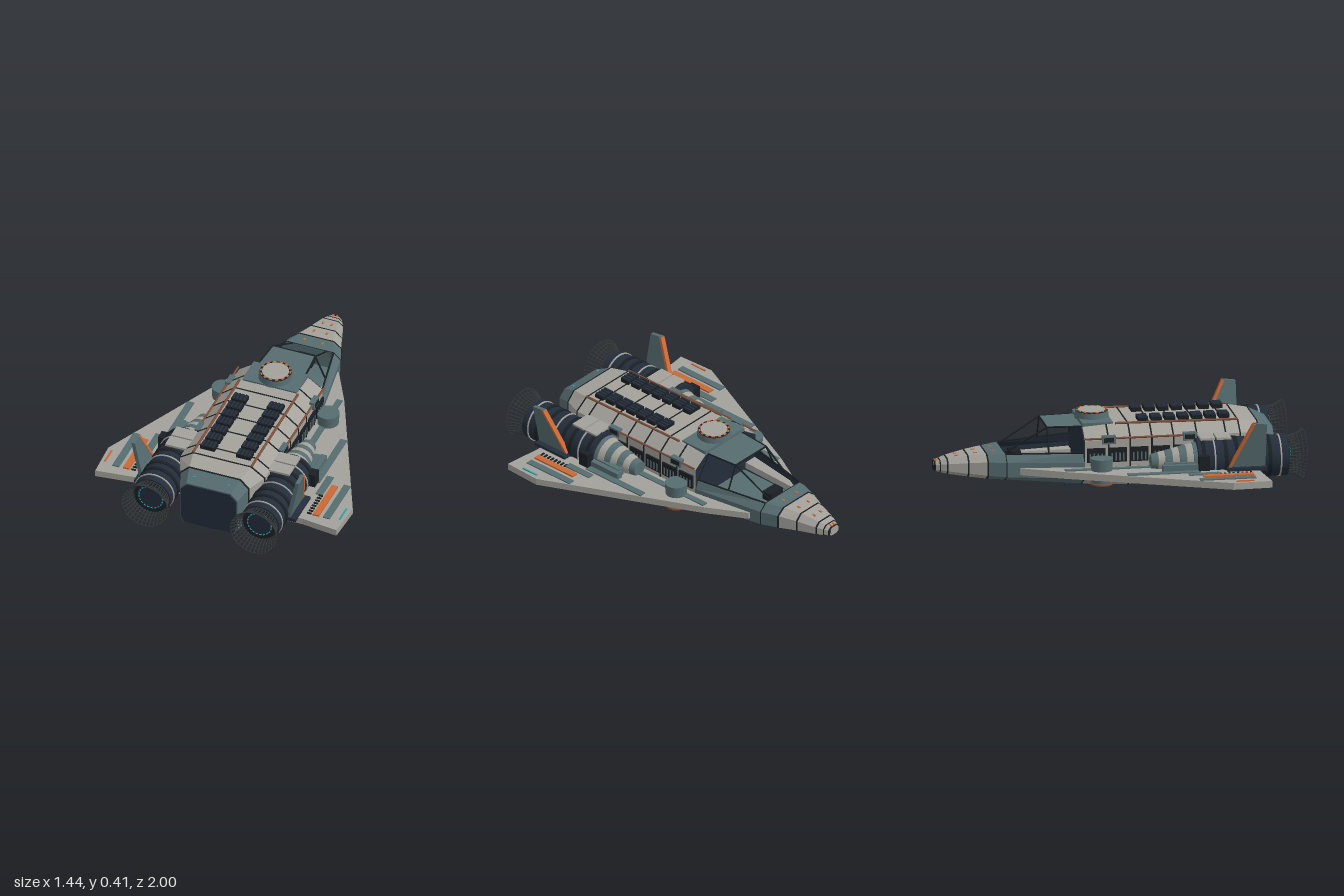
import * as THREE from 'three';

const paint = (name, color, side = THREE.FrontSide) => {
  const m = new THREE.MeshStandardMaterial({ color, side });
  m.name = name;
  return m;
};

// Eight-sided hull stations: z, bottom / side / top half widths, then four heights
const HULL = [
  [0.86, 0.15, 0.17, 0.13, 0.02, 0.06, 0.25, 0.29],
  [0.77, 0.16, 0.2, 0.15, 0.01, 0.055, 0.28, 0.33],
  [0.66, 0.17, 0.25, 0.17, 0.005, 0.055, 0.29, 0.345],
  [0, 0.17, 0.25, 0.17, 0.01, 0.06, 0.29, 0.355],
  [-0.2, 0.16, 0.245, 0.16, 0.02, 0.065, 0.28, 0.34],
];
const CABIN = [
  [-0.2, 0.15, 0.245, 0.225, 0.02, 0.07, 0.16, 0.21],
  [-0.62, 0.11, 0.18, 0.14, 0.05, 0.08, 0.16, 0.2],
];
const NOSE = [
  CABIN[1],
  [-0.72, 0.09, 0.145, 0.1, 0.055, 0.085, 0.16, 0.195],
  [-0.82, 0.065, 0.105, 0.07, 0.065, 0.09, 0.15, 0.185],
  [-0.93, 0.045, 0.07, 0.045, 0.08, 0.1, 0.14, 0.165],
  [-1, 0.02, 0.035, 0.02, 0.095, 0.105, 0.13, 0.145],
];

// Station interpolated at z
function at(table, z) {
  let i = 0;
  while (i < table.length - 2 && z < table[i + 1][0]) i++;
  const a = table[i], b = table[i + 1], t = (z - a[0]) / (b[0] - a[0]);
  return a.map((v, k) => v + (b[k] - v) * t);
}

function ring([z, wb, w, wt, y0, y1, y2, y3], k) {
  const c = (y0 + y3) / 2;
  return [[wb, y0], [w, y1], [w, y2], [wt, y3], [-wt, y3], [-w, y2], [-w, y1], [-wb, y0]]
    .map(([x, y]) => [x * k, c + (y - c) * k, z]);
}

// Faceted skin between two stations; can leave the top open or face inward
function loft(a, b, { k = 1, open = false, inward = false } = {}) {
  const A = ring(a, k), B = ring(b, k), pos = [];
  const tri = (p, q, r) => pos.push(...p, ...(inward ? r : q), ...(inward ? q : r));
  for (let i = 0; i < 8; i++) {
    if (open && i === 3) continue;
    const j = (i + 1) % 8;
    tri(A[i], B[i], B[j]);
    tri(A[i], B[j], A[j]);
  }
  if (!open) for (let i = 1; i < 7; i++) {
    tri(A[0], A[i], A[i + 1]);
    tri(B[0], B[i + 1], B[i]);
  }
  const g = new THREE.BufferGeometry();
  g.setAttribute('position', new THREE.Float32BufferAttribute(pos, 3));
  g.computeVertexNormals();
  return g;
}

export function createModel() {
  const gray = paint('hull gray', 0xa3a19a), teal = paint('slate teal', 0x566c70);
  const navy = paint('dark navy', 0x232d3a), black = paint('seam black', 0x1b2024);
  const orange = paint('orange', 0xcb6835), cyan = paint('cyan glow', 0x2aa3ad);
  const rust = paint('rust', 0x80503a), metal = paint('nozzle metal', 0x34383a);
  const model = new THREE.Group();
  const add = (name, geo, mat, x = 0, y = 0, z = 0) => {
    const m = new THREE.Mesh(geo, mat);
    m.name = name;
    m.position.set(x, y, z);
    model.add(m);
    return m;
  };
  const box = (name, mat, w, h, d, x, y, z) => add(name, new THREE.BoxGeometry(w, h, d), mat, x, y, z);
  const bar = (name, mat, a, b, r) => {
    const p = new THREE.Vector3(...a), q = new THREE.Vector3(...b);
    const m = add(name, new THREE.CylinderGeometry(r, r, p.distanceTo(q), 6), mat);
    m.position.copy(p).add(q).multiplyScalar(0.5);
    m.quaternion.setFromUnitVectors(new THREE.Vector3(0, 1, 0), q.sub(p).normalize());
  };
  const drum = (name, mat, r1, r2, len, x, y, z, open = false) =>
    add(name, new THREE.CylinderGeometry(r1, r2, len, 32, 1, open).rotateX(Math.PI / 2), mat, x, y, z);

  // Main hull panels with dark seams
  const cuts = [0.86, 0.77, 0.66, 0.58, 0.42, 0.29, 0.17, 0.05, -0.07, -0.2];
  for (let i = 0; i < cuts.length - 1; i++) {
    add('hullPanel', loft(at(HULL, cuts[i]), at(HULL, cuts[i + 1])), i === 0 ? teal : gray);
    if (i) add('hullSeam', loft(at(HULL, cuts[i] + 0.004), at(HULL, cuts[i] - 0.004), { k: 1.012 }), black);
  }
  const shifted = (s, z) => [z, ...s.slice(1)];
  add('rearPlate', loft(shifted(HULL[0], 0.866), HULL[0], { k: 0.96 }), navy);
  add('bulkhead', loft(HULL[4], shifted(HULL[4], -0.206), { k: 0.99 }), navy);

  // Open cockpit tub
  add('cockpitBody', loft(CABIN[0], CABIN[1], { open: true }), teal);
  add('cockpitLining', loft(CABIN[0], CABIN[1], { open: true, inward: true, k: 0.975 }), navy);
  box('cockpitFloor', teal, 0.3, 0.008, 0.41, 0, 0.09, -0.41);
  box('console', black, 0.1, 0.05, 0.06, 0, 0.165, -0.55);
  const roof = new THREE.Shape([[-0.14, 0.2], [0.14, 0.2], [0.125, 0.39], [-0.125, 0.39]].map(p => new THREE.Vector2(...p)));
  add('cockpitRoof', new THREE.ExtrudeGeometry(roof, { depth: 0.006, bevelEnabled: false }).rotateX(-Math.PI / 2), teal, 0, 0.334, 0);
  bar('canopyFrame', black, [-0.125, 0.338, -0.39], [0.125, 0.338, -0.39], 0.005);
  for (const s of [-1, 1]) {
    const frame = [
      [[0.14, 0.338, -0.2], [0.125, 0.338, -0.39]], [[0.125, 0.338, -0.39], [0.1, 0.2, -0.62]],
      [[0.125, 0.338, -0.39], [0.183, 0.206, -0.39]], [[0.225, 0.21, -0.2], [0.14, 0.2, -0.62]],
      [[0.14, 0.338, -0.205], [0.225, 0.21, -0.205]],
    ];
    for (const [a, b] of frame) bar('canopyFrame', black, [a[0] * s, a[1], a[2]], [b[0] * s, b[1], b[2]], 0.005);
  }

  // Nose segments, seams and marker lights
  for (let i = 0; i < 4; i++) {
    add('noseSegment', loft(NOSE[i], NOSE[i + 1]), i ? gray : teal);
    const z = NOSE[i][0];
    add('noseSeam', loft(at(NOSE, z + (i ? 0.004 : 0)), at(NOSE, z - 0.004), { k: 1.02 }), black);
    for (const s of [-1, 1]) {
      const st = at(NOSE, z - 0.055);
      box('noseMarker', orange, 0.01, 0.006, 0.02, s * st[3] * 0.45, st[7] + 0.001, z - 0.055);
    }
  }
  add('noseSeam', loft(at(NOSE, -0.965), at(NOSE, -0.971), { k: 1.03 }), black);
  add('noseTip', loft(at(NOSE, -0.992), NOSE[4], { k: 1.06 }), black);

  // Turret ring on the roof
  box('turretDeck', teal, 0.32, 0.02, 0.17, 0, 0.35, -0.115);
  add('turretBase', new THREE.CylinderGeometry(0.09, 0.095, 0.04, 32), teal, 0, 0.372, -0.12);
  add('turretRim', new THREE.CylinderGeometry(0.088, 0.088, 0.004, 32), black, 0, 0.393, -0.12);
  add('turretCap', new THREE.CylinderGeometry(0.074, 0.074, 0.004, 32), gray, 0, 0.396, -0.12);
  for (let i = 0; i < 14; i++) {
    const a = i / 14 * Math.PI * 2;
    box('turretMark', orange, 0.018, 0.005, 0.009, 0.081 * Math.sin(a), 0.3955, -0.12 + 0.081 * Math.cos(a)).rotation.y = a;
  }

  // Belly panels
  for (const s of [-1, 1]) for (let i = 0; i < 5; i++)
    box('bellyPanel', navy, 0.1, 0.009, 0.135, s * 0.058, 0.0045, 0.36 - i * 0.145);

  const plan = pts => new THREE.Shape(pts.map(([x, z]) => new THREE.Vector2(x, -z)));
  const slab = (pts, depth) => new THREE.ExtrudeGeometry(plan(pts), { depth, bevelEnabled: false }).rotateX(-Math.PI / 2);

  for (const s of [-1, 1]) {
    // Delta wing with painted strips
    const out = [[0.15, -0.56], [0.2, -0.55], [0.32, -0.33], [0.72, 0.54], [0.71, 0.755], [0.5, 0.73], [0.2, 0.73]];
    add('wing', slab(out.map(([x, z]) => [x * s, z]), 0.038), gray, 0, 0.095, 0);
    const strip = (name, mat, x0, x1, z0, z1, h = 0.006) =>
      box(name, mat, x1 - x0, h, z1 - z0, s * (x0 + x1) / 2, 0.133 + h / 2, (z0 + z1) / 2);
    strip('wingStrip', teal, 0.28, 0.315, -0.32, 0.15);
    strip('wingStrip', teal, 0.43, 0.47, 0, 0.4);
    strip('wingStrip', teal, 0.6, 0.64, 0.37, 0.68);
    strip('wingStrip', teal, 0.485, 0.525, 0.33, 0.5);
    strip('orangePanel', orange, 0.54, 0.577, 0.4, 0.68, 0.009);
    strip('tipLight', s > 0 ? cyan : orange, 0.687, 0.696, 0.56, 0.66);
    for (let i = 0; i < 8; i++) strip('wingSlat', black, 0.505, 0.53, 0.5 + i * 0.024, 0.51 + i * 0.024);

    // Ribbed ducts leading into the engine
    for (let i = 0; i < 7; i++) {
      const r = 0.05 + i * 0.009;
      drum('ductRib', i % 2 ? gray : teal, r, r - 0.008, 0.036, s * 0.305, 0.165, 0.17 + i * 0.038);
    }
    for (let i = 0; i < 4; i++)
      box('ductStep', teal, 0.035, 0.04 + 0.012 * i, 0.2 - 0.03 * i, s * (0.415 - 0.03 * i), 0.15, 0.3);

    // Engine nacelle
    const ex = s * 0.32, ey = 0.175;
    drum('nacelle', navy, 0.112, 0.112, 0.5, ex, ey, 0.65);
    for (let i = 0; i < 8; i++)
      drum('nacelleRing', i % 3 === 1 ? gray : black, 0.117, 0.117, i % 3 === 1 ? 0.008 : 0.02, ex, ey, 0.43 + i * 0.061);
    for (const z of [0.46, 0.55]) {
      const shell = new THREE.CylinderGeometry(0.12, 0.12, 0.085, 12, 1, false, Math.PI * 0.72, Math.PI * 0.56).rotateX(Math.PI / 2);
      add('nacelleCover', shell.rotateZ(Math.PI), gray, ex, ey, z).rotation.z = s * 0.12;
      box('nacelleCoverPlate', gray, 0.13, 0.012, 0.08, s * 0.3, 0.292, z);
    }
    box('nacelleVent', black, 0.045, 0.08, 0.06, s * 0.44, 0.18, 0.425);

    // Open lattice nozzle
    const nr = t => 0.1 + 0.037 * t * t;
    for (let i = 0; i < 6; i++) {
      const t = i / 5;
      add('nozzleRing', new THREE.TorusGeometry(nr(t), 0.0028, 5, 36), metal, ex, ey, 0.9 + 0.097 * t);
    }
    for (let i = 0; i < 36; i++) {
      const a = i / 36 * Math.PI * 2, c = Math.cos(a), n = Math.sin(a);
      for (const [t, u] of [[0, 0.5], [0.5, 1]])
        bar('nozzleRib', metal, [ex + c * nr(t), ey + n * nr(t), 0.9 + 0.097 * t], [ex + c * nr(u), ey + n * nr(u), 0.9 + 0.097 * u], 0.0035);
    }
    drum('nozzleThroat', black, 0.1, 0.1, 0.012, ex, ey, 0.902);
    drum('nozzleCore', navy, 0.066, 0.066, 0.02, ex, ey, 0.904);
    for (let i = 0; i < 20; i++)
      add('glowRing', new THREE.TorusGeometry(0.07, 0.004, 5, 3, 0.22).rotateZ(i * Math.PI / 10), cyan, ex, ey, 0.912);

    // Canted tail fin with an orange leading edge
    const lean = new THREE.Matrix4().set(1, s * 0.21, 0, s * 0.4, 0, 1, 0, 0, 0, 0, 1, 0, 0, 0, 0, 1);
    const fin = (name, pts, thick, mat) => add(name, new THREE.ExtrudeGeometry(new THREE.Shape(pts.map(p => new THREE.Vector2(...p))),
      { depth: thick, bevelEnabled: false }).translate(0, 0, -thick / 2).rotateY(-Math.PI / 2).applyMatrix4(lean), mat);
    fin('tailFin', [[0.765, 0.12], [0.765, 0.395], [0.69, 0.405], [0.55, 0.12]], 0.022, teal);
    fin('finLeadingEdge', [[0.578, 0.15], [0.563, 0.15], [0.687, 0.402], [0.702, 0.4]], 0.028, orange);
    box('finFoot', navy, 0.05, 0.02, 0.22, s * 0.45, 0.14, 0.66);

    // Lift fans through the wing
    for (const [x, z, top] of [[0.31, -0.12, 0.2], [0.36, 0.5, 0.1]]) {
      add('liftFan', new THREE.CylinderGeometry(0.062, 0.055, top - 0.055, 24), teal, s * x, (top + 0.055) / 2, z);
      add('liftFanRim', new THREE.TorusGeometry(0.055, 0.008, 6, 24).rotateX(Math.PI / 2), rust, s * x, 0.058, z);
      add('liftFanWell', new THREE.CylinderGeometry(0.047, 0.047, 0.006, 24), black, s * x, 0.054, z);
      for (let i = 0; i < 4; i++)
        box('liftFanBlade', gray, 0.09, 0.003, 0.008, s * x, 0.0505, z).rotation.y = i * Math.PI / 4;
    }
    box('underwingVent', black, 0.1, 0.009, 0.13, s * 0.42, 0.092, 0.3);

    // Roof vents and pipe
    for (let i = 0; i < 7; i++) {
      const z = 0.14 + i * 0.075;
      box('roofVent', black, 0.085, 0.022, 0.056, s * 0.105, 0.362, z);
      for (let j = 0; j < 4; j++) box('roofVentFin', navy, 0.012, 0.006, 0.056, s * (0.074 + j * 0.021), 0.375, z);
    }
    bar('roofPipe', rust, [s * 0.172, 0.357, -0.02], [s * 0.172, 0.349, 0.66], 0.007);
    bar('shoulderPipe', rust, [s * 0.252, 0.293, -0.2], [s * 0.252, 0.293, 0.4], 0.006);

    // Side louvres and small hatches
    for (let i = 0; i < 5; i++) {
      const z = 0.34 - i * 0.12;
      box('sideLouvre', black, 0.016, 0.08, 0.1, s * 0.25, 0.2, z);
      for (let j = 0; j < 4; j++) box('louvreSlat', teal, 0.008, 0.045, 0.008, s * 0.257, 0.19, z - 0.033 + j * 0.022);
    }
    for (const z of [0.38, -0.07]) {
      box('sideHatch', teal, 0.03, 0.045, 0.075, s * 0.247, 0.285, z);
      box('sideHatchGrille', black, 0.008, 0.025, 0.055, s * 0.261, 0.285, z);
    }
    box('tailLight', cyan, 0.012, 0.006, 0.008, s * 0.1, 0.313, 0.82);
  }
  return model;
}
